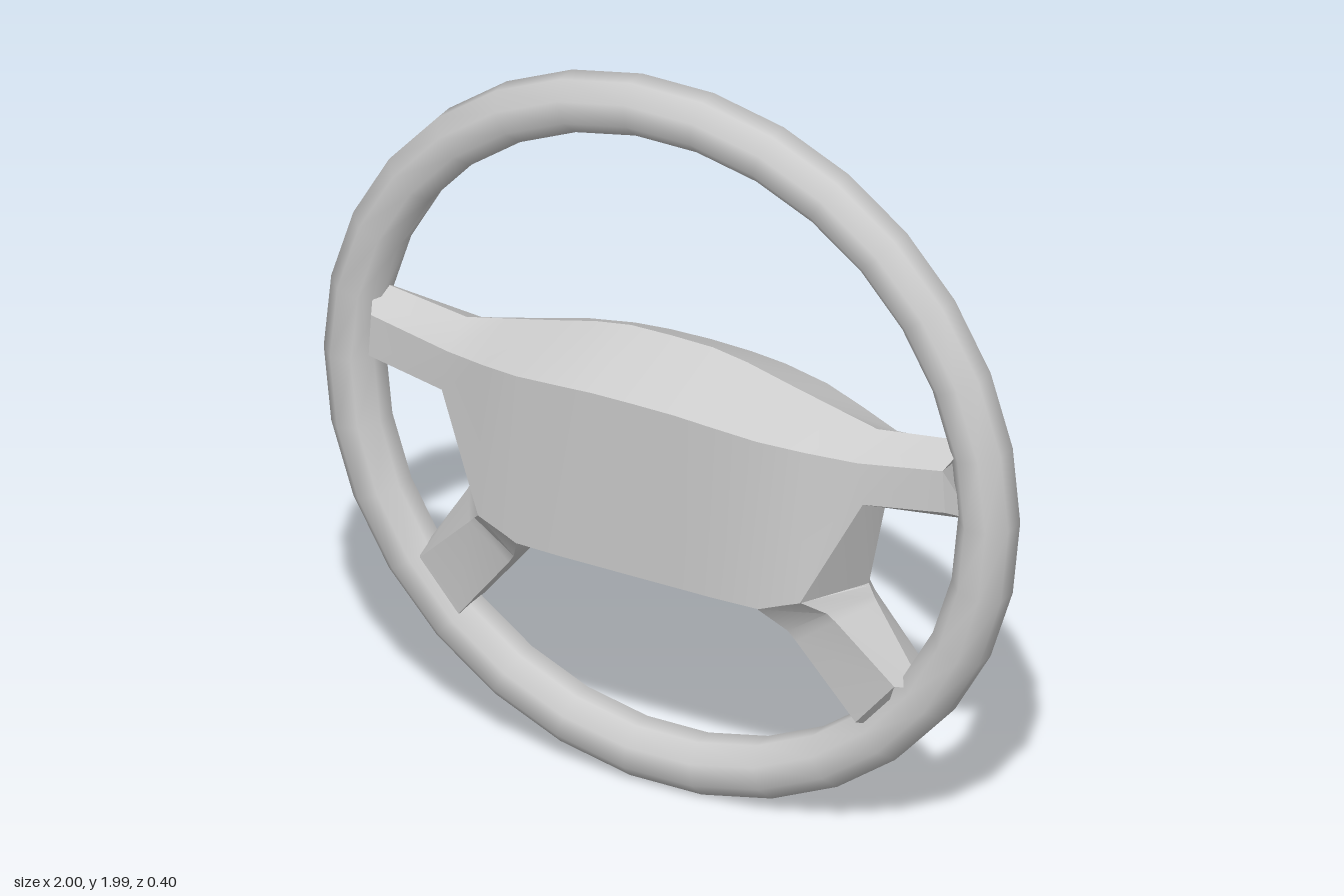
import * as THREE from 'three';
import { toCreasedNormals } from 'three/addons/utils/BufferGeometryUtils.js';

const material = new THREE.MeshStandardMaterial({ color: 0xcccccc });
const CENTRE_Y = 0.9945;

// Six-sided section: front and back edges at +-z, with a ridge in the middle (z = 0).
// Each point is [x, y]; the back is slightly shallower along its lower edge.
function ring(frontTop, midTop, frontBottom, midBottom, zTop, zBottom = zTop) {
  return [
    [...frontTop, zTop], [...midTop, 0], [...frontTop, -zTop],
    [...frontBottom, -zBottom * 0.9], [...midBottom, 0], [...frontBottom, zBottom],
  ];
}

const mirrorRings = (rings) =>
  rings.map((r) => r.map(([x, y, z]) => [-x, y, z])).reverse();

// Skin a run of sections and close both ends
function loft(rings) {
  const n = rings[0].length;
  const pos = rings.flat(2);
  const index = [];
  for (let s = 0; s < rings.length - 1; s++) {
    for (let i = 0; i < n; i++) {
      const j = (i + 1) % n;
      const a = s * n + i, d = s * n + j, b = a + n, c = d + n;
      index.push(a, b, c, a, c, d);
    }
  }
  const last = (rings.length - 1) * n;
  for (let i = 1; i < n - 1; i++) {
    index.push(0, i, i + 1, last, last + i + 1, last + i);
  }
  const g = new THREE.BufferGeometry();
  g.setAttribute('position', new THREE.Float32BufferAttribute(pos, 3));
  g.setIndex(index);
  return toCreasedNormals(g, 0.42);
}

function addMesh(group, name, geometry) {
  const mesh = new THREE.Mesh(geometry, material);
  mesh.name = name;
  group.add(mesh);
  return mesh;
}

export function createModel() {
  const group = new THREE.Group();
  group.name = 'steeringWheel';

  // Rim: octagonal tube swept round 30 sides
  const profile = [];
  for (let i = 0; i <= 8; i++) {
    const a = -Math.PI / 8 + (i * Math.PI) / 4;
    profile.push(new THREE.Vector2(0.9265 + 0.0795 * Math.cos(a), 0.0795 * Math.sin(a)));
  }
  const rimGeometry = new THREE.LatheGeometry(profile, 30, Math.PI / 2);
  rimGeometry.rotateX(Math.PI / 2);
  addMesh(group, 'rim', toCreasedNormals(rimGeometry, 1.0)).position.y = CENTRE_Y;

  // Hub with the two upper arms, from the middle out to the rim
  const half = [
    ring([0.12, 1.172], [0.12, 1.276], [0.12, 0.67], [0.12, 0.6], 0.198, 0.185),
    ring([0.22, 1.165], [0.22, 1.26], [0.22, 0.67], [0.22, 0.6], 0.195, 0.185),
    ring([0.35, 1.15], [0.35, 1.228], [0.35, 0.67], [0.34, 0.6], 0.18, 0.18),
    ring([0.47, 1.134], [0.47, 1.2], [0.47, 0.712], [0.575, 0.72], 0.145, 0.168),
    ring([0.6, 1.118], [0.6, 1.17], [0.615, 1.003], [0.622, 0.95], 0.1),
    ring([0.835, 1.148], [0.87, 1.207], [0.842, 1.03], [0.88, 0.985], 0.077),
  ];
  const middle = ring([0, 1.174], [0, 1.278], [0, 0.67], [0, 0.6], 0.2, 0.185);
  addMesh(group, 'hub', loft([...mirrorRings(half), middle, ...half]));

  // Lower spokes: a short bevel down from the hub corner, then straight to the rim
  const spoke = [
    ring([0.46, 0.72], [0.57, 0.735], [0.35, 0.675], [0.33, 0.61], 0.165, 0.178),
    ring([0.47, 0.712], [0.578, 0.715], [0.352, 0.668], [0.345, 0.6], 0.165, 0.178),
    ring([0.515, 0.666], [0.59, 0.69], [0.4, 0.587], [0.405, 0.572], 0.108),
    ring([0.535, 0.645], [0.6, 0.672], [0.42, 0.558], [0.42, 0.554], 0.1),
    ring([0.693, 0.489], [0.735, 0.46], [0.58, 0.357], [0.61, 0.32], 0.076),
  ];
  addMesh(group, 'leftLowerSpoke', loft(spoke));
  addMesh(group, 'rightLowerSpoke', loft(mirrorRings(spoke)));

  return group;
}
